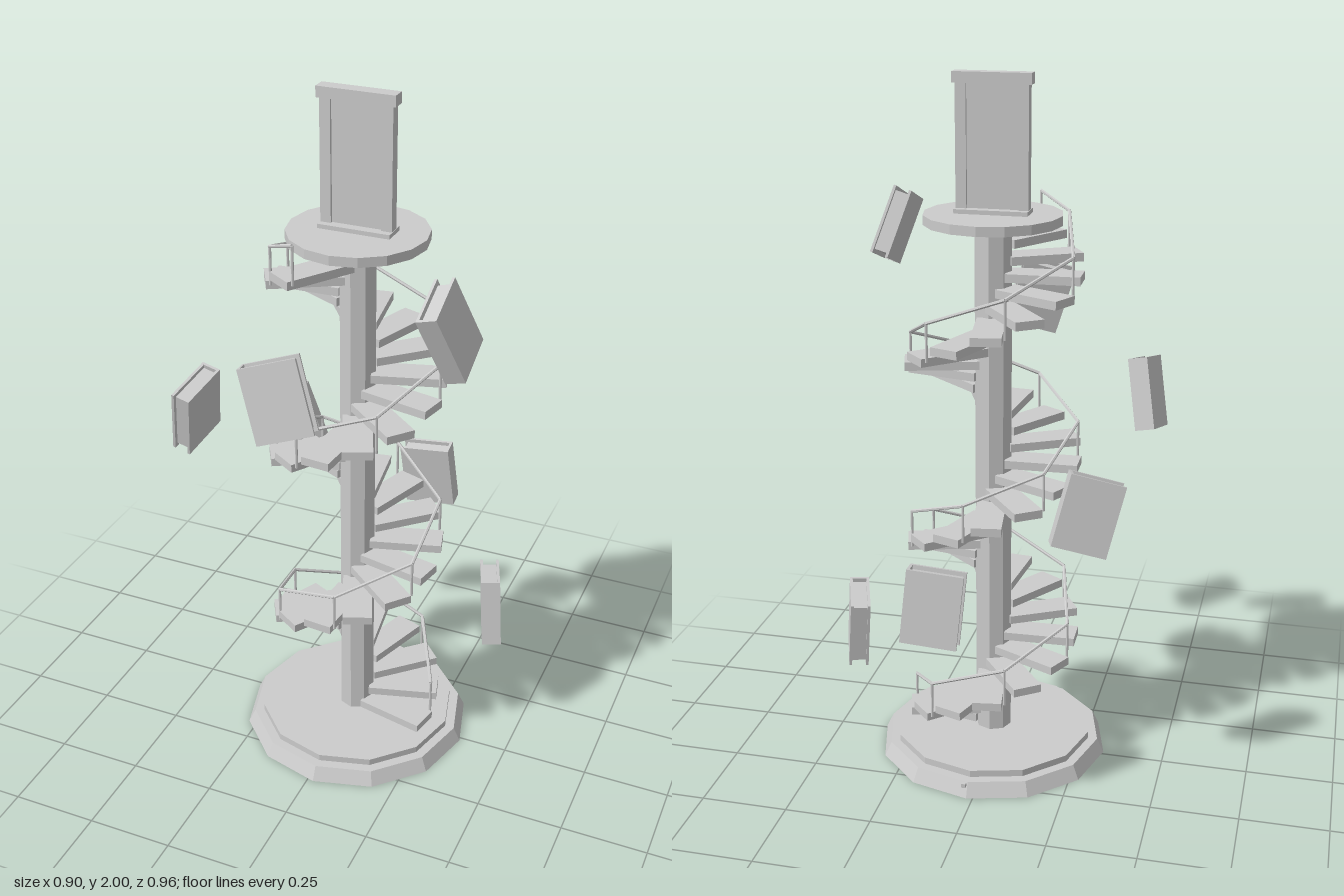
import * as THREE from 'three';

const stone = new THREE.MeshStandardMaterial({ color: 0xcccccc, flatShading: true });
stone.name = 'pale grey';

const rad = THREE.MathUtils.degToRad;
const PITCH = 360 / 13;   // turn per step, degrees
const RISE = 0.0416;      // climb per step
const STEPS = 36;

function add(parent, name, geometry, x = 0, y = 0, z = 0) {
  const m = new THREE.Mesh(geometry, stone);
  m.name = name;
  m.position.set(x, y, z);
  parent.add(m);
  return m;
}
const box = (w, h, d) => new THREE.BoxGeometry(w, h, d);
const drum = (rTop, rBottom, h, sides) => new THREE.CylinderGeometry(rTop, rBottom, h, sides);

// point at an angle (counterclockwise from above), radius and height
const polar = (deg, r, y) => new THREE.Vector3(Math.cos(rad(deg)) * r, y, -Math.sin(rad(deg)) * r);

// thin round bar between two points
function bar(parent, name, a, b, r) {
  const dir = b.clone().sub(a);
  const mid = a.clone().add(b).multiplyScalar(0.5);
  const m = add(parent, name, drum(r, r, dir.length(), 6), mid.x, mid.y, mid.z);
  m.quaternion.setFromUnitVectors(new THREE.Vector3(0, 1, 0), dir.normalize());
}

// closed book: two covers, a spine on the left, pages set back inside
function makeBook() {
  const w = 0.155, h = 0.205, t = 0.056, c = 0.008;
  const book = new THREE.Group();
  book.name = 'floatingBook';
  for (const s of [-1, 1]) add(book, 'bookCover', box(w, h, c), 0, 0, s * (t - c) / 2);
  add(book, 'bookSpine', box(c, h, t - 2 * c), -(w - c) / 2, 0, 0);
  add(book, 'bookPages', box(w - c - 0.01, h - 0.024, t - 2 * c), (c - 0.01) / 2, 0, 0);
  return book;
}

export function createModel() {
  const model = new THREE.Group();
  model.name = 'spiralStaircase';
  const tower = new THREE.Group();
  tower.name = 'tower';
  tower.position.set(0.018, 0, 0.012);
  model.add(tower);

  // stepped base, central column and landing
  add(tower, 'baseLower', drum(0.32, 0.34, 0.042, 12), 0, 0.021, 0);
  add(tower, 'baseUpper', drum(0.292, 0.292, 0.02, 12), 0, 0.052, 0);
  add(tower, 'column', drum(0.053, 0.053, 1.54, 8), 0, 0.83, 0);
  add(tower, 'landing', drum(0.193, 0.193, 0.027, 16), 0, 1.6115, 0);
  add(tower, 'pebble', box(0.012, 0.012, 0.012), 0, 0.06, -0.364);

  // treads winding up the column
  for (let i = 0; i < STEPS; i++) {
    const deg = -12 + i * PITCH;
    const p = polar(deg, 0.144, 0.082 + i * RISE);
    add(tower, 'tread', box(0.208, 0.024, 0.084), p.x, p.y, p.z).rotation.y = rad(deg);
  }

  // posts on every second tread, joined by a straight-sectioned handrail
  let last = null;
  for (let i = 0; i < STEPS + 1; i += 2) {
    const k = Math.min(i, STEPS - 1);
    const foot = polar(k * PITCH, 0.241, 0.085 + k * RISE);
    const head = polar(k * PITCH, 0.241, 0.194 + k * RISE);
    bar(tower, 'railPost', foot, head, 0.004);
    if (last) bar(tower, 'handrail', last, head, 0.005);
    last = head;
  }

  // door standing on the landing
  const door = new THREE.Group();
  door.name = 'door';
  tower.add(door);
  add(door, 'threshold', box(0.205, 0.012, 0.07), 0, 1.631, 0);
  add(door, 'lintel', box(0.218, 0.03, 0.04), 0, 1.985, 0);
  add(door, 'doorPanel', box(0.145, 0.335, 0.016), 0, 1.803, 0);
  for (const s of [-1, 1]) add(door, 'doorJamb', box(0.03, 0.335, 0.032), s * 0.086, 1.803, 0);

  // floating books: position, facing angle, backward lean, roll (degrees)
  const books = [
    [0.387, 0.43, -0.14, 20, -3, -8],
    [0.075, 0.65, -0.437, 94, -7, -5],
    [-0.3, 0.87, -0.232, 108, -8, -16],
    [-0.397, 1.09, 0.188, 175, -11, -13],
    [-0.032, 1.305, 0.412, 282, -12, 16],
    [0.377, 1.52, 0.289, -3, -16, 20],
  ];
  for (const [x, y, z, facing, lean, roll] of books) {
    const book = makeBook();
    book.position.set(x, y, z);
    book.rotation.set(rad(lean), rad(facing + 90), rad(roll), 'YXZ');
    model.add(book);
  }
  return model;
}
